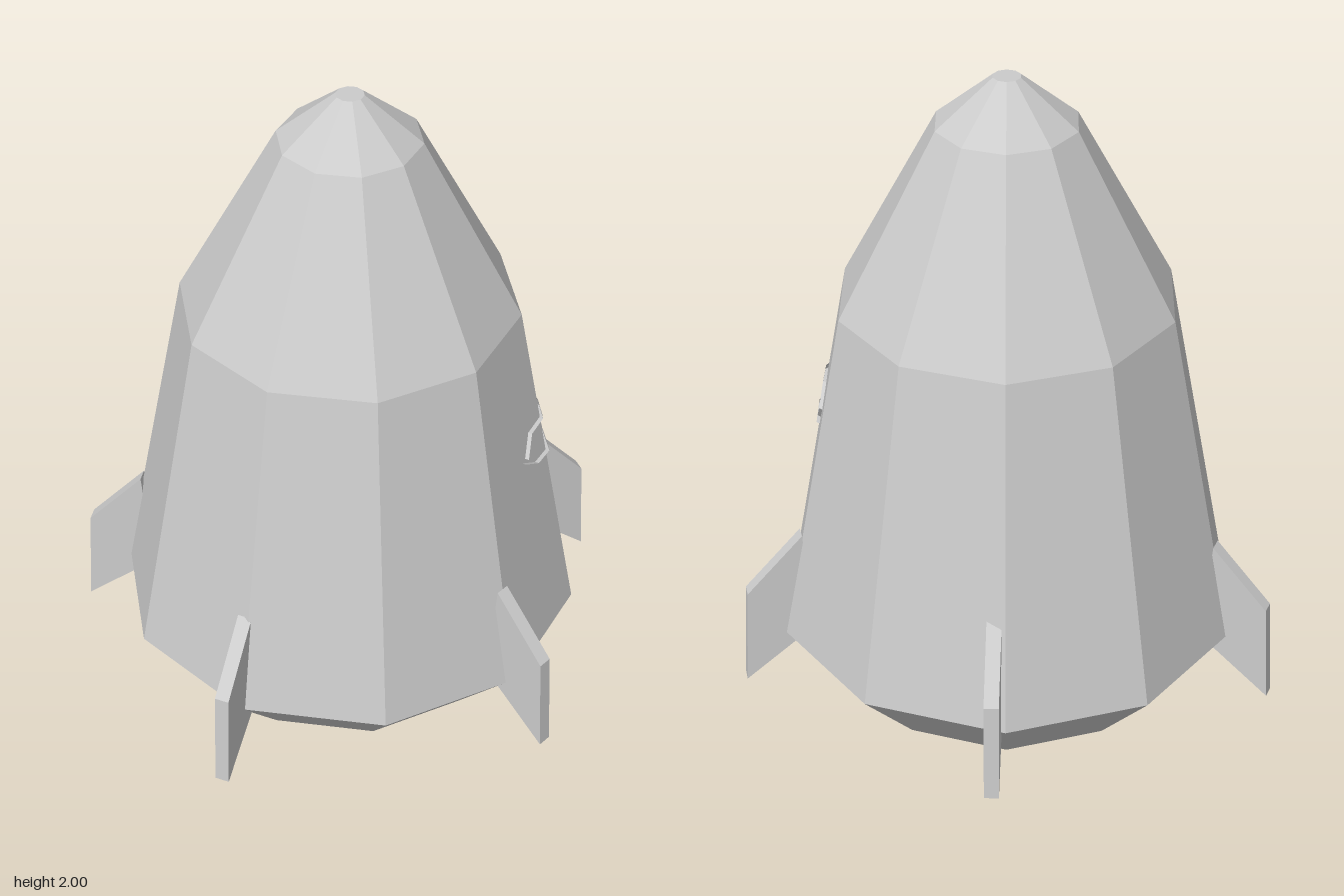
import * as THREE from 'three';

const CENTER_Z = -0.06;
const material = new THREE.MeshStandardMaterial({ color: 0xcccccc, flatShading: true });

function addMesh(parent, name, geometry) {
  const mesh = new THREE.Mesh(geometry, material);
  mesh.name = name;
  parent.add(mesh);
  return mesh;
}

// Ten-sided hull with a shallow recess under the base and a flat tip
function hullGeometry() {
  const profile = [
    [0, 0.045], [0.3, 0.04], [0.3, 0], [0.32, 0], [0.468, 0.09], [0.677, 0.315],
    [0.487, 1.33], [0.203, 1.865], [0.04, 2], [0, 2],
  ].map(([r, y]) => new THREE.Vector2(r, y));
  return new THREE.LatheGeometry(profile, 10);
}

// Swept-back fin plate: x = 0 is the outer tip, inner end sinks into the hull
function finGeometry() {
  const outline = [[-0.18, 0.615], [-0.21, 0.3], [0, 0.135], [-0.015, 0.435]];
  const shape = new THREE.Shape(outline.map(([x, y]) => new THREE.Vector2(x, y)));
  const geometry = new THREE.ExtrudeGeometry(shape, { depth: 0.042, bevelEnabled: false });
  return geometry.translate(0, 0, -0.021);
}

// x of the hull surface on its left side, at a given height and depth
function hullSideX(y, z) {
  const r = 0.677 - (y - 0.315) * 0.187;
  const past = Math.max(0, CENTER_Z - z - 0.309 * r);
  return 0.951 * r - past * 0.7265;
}

// Six-cornered window frame folded over a hull edge
function windowFrameGeometry() {
  const outline = [
    [-0.09, 0.91], [-0.137, 0.99], [-0.226, 0.992], [-0.29, 0.99],
    [-0.36, 0.925], [-0.323, 0.858], [-0.238, 0.86], [-0.165, 0.865],
  ];
  const cz = -0.228, cy = 0.925;
  // Cross-section: [scale in z, scale in y, height above the hull]
  const section = [[1, 1, -0.02], [1, 1, 0.012], [0.86, 0.78, 0.012], [0.86, 0.78, -0.02]];
  const positions = [], indices = [];
  for (const [z, y] of outline) {
    for (const [sz, sy, lift] of section) {
      const pz = cz + (z - cz) * sz, py = cy + (y - cy) * sy;
      positions.push(hullSideX(py, pz) + lift, py, pz);
    }
  }
  const n = outline.length, m = section.length;
  for (let i = 0; i < n; i++) {
    for (let j = 0; j < m; j++) {
      const a = i * m + j, b = i * m + (j + 1) % m;
      const c = ((i + 1) % n) * m + j, d = ((i + 1) % n) * m + (j + 1) % m;
      indices.push(a, c, b, b, c, d);
    }
  }
  const geometry = new THREE.BufferGeometry();
  geometry.setAttribute('position', new THREE.Float32BufferAttribute(positions, 3));
  geometry.setIndex(indices);
  geometry.computeVertexNormals();
  return geometry;
}

export function createModel() {
  const model = new THREE.Group();
  model.name = 'rocket';

  addMesh(model, 'hull', hullGeometry()).position.z = CENTER_Z;

  // Five fins, each set slightly off true: inner x, z, outer x, z, lift
  const fins = new THREE.Group();
  fins.name = 'fins';
  model.add(fins);
  const placements = [
    ['frontFin', -0.015, 0.55, -0.002, 0.735, 0],
    ['leftFin', 0.575, 0.135, 0.765, 0.185, 0.02],
    ['rightFin', -0.585, 0.14, -0.765, 0.19, 0],
    ['backLeftFin', 0.375, -0.55, 0.495, -0.685, 0.03],
    ['backRightFin', -0.335, -0.575, -0.425, -0.71, 0.03],
  ];
  const finShape = finGeometry();
  for (const [name, x0, z0, x1, z1, lift] of placements) {
    const fin = addMesh(fins, name, finShape);
    fin.position.set(x1, lift, z1);
    fin.rotation.y = Math.atan2(z0 - z1, x1 - x0);
  }

  addMesh(model, 'windowFrame', windowFrameGeometry());
  return model;
}
